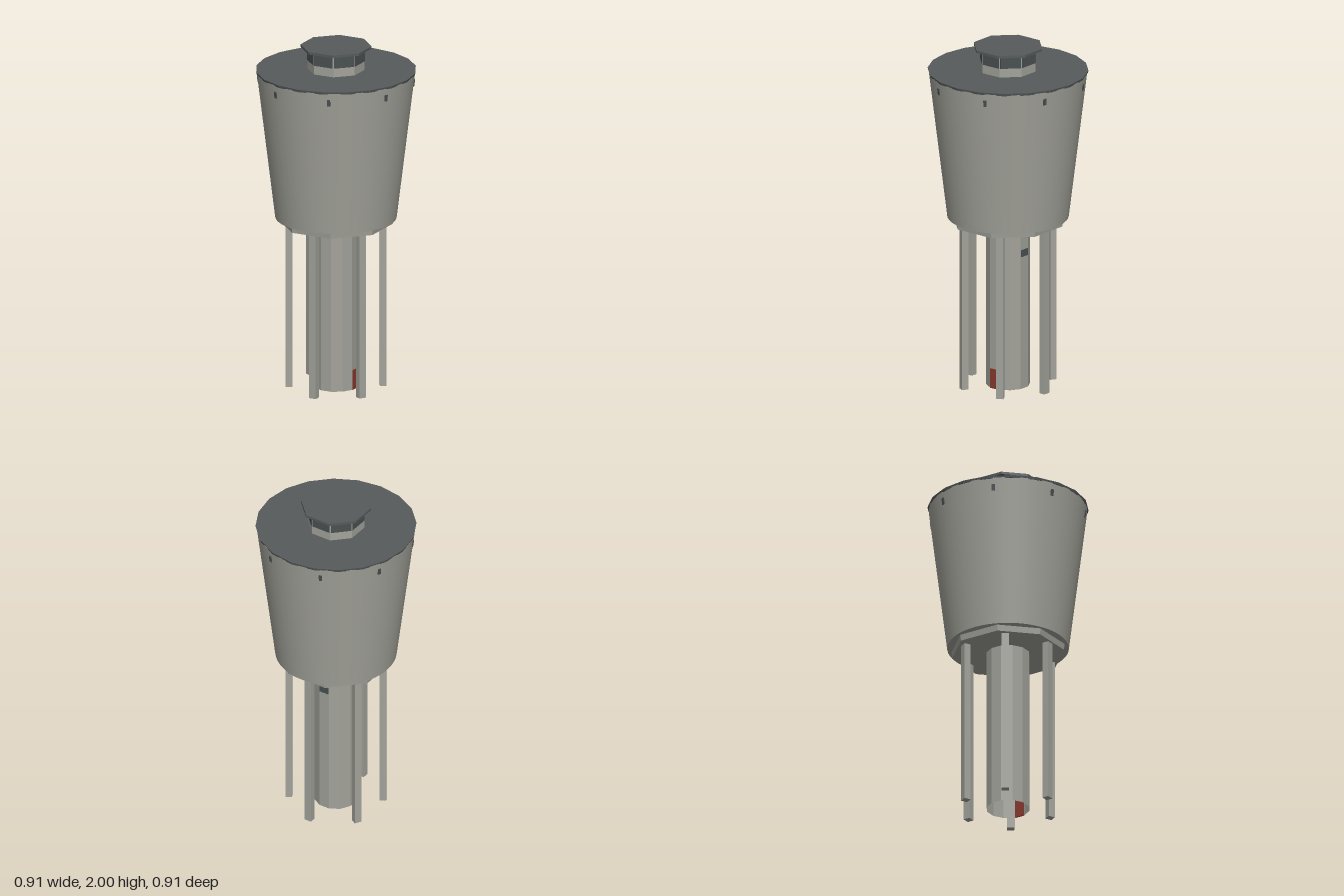
import * as THREE from 'three';

export function createModel() {
  const root = new THREE.Group();
  root.name = 'waterTower';

  const mat = (name, color, opts = {}) => {
    const m = new THREE.MeshStandardMaterial({ color, ...opts });
    m.name = name;
    return m;
  };
  const concrete = mat('concrete', 0xa3a39b, { flatShading: true });
  const tankConcrete = mat('smoothConcrete', 0xa3a39b);
  const shaftConcrete = mat('shaftConcrete', 0xa3a39b, { flatShading: true, side: THREE.DoubleSide });
  const roofing = mat('darkRoofing', 0x565b5b, { flatShading: true });
  const glass = mat('darkGlass', 0x4a5052);
  const doorRed = mat('doorRed', 0x8a3a2f);

  const add = (name, geo, material, parent = root) => {
    const mesh = new THREE.Mesh(geo, material);
    mesh.name = name;
    parent.add(mesh);
    return mesh;
  };
  // Prism standing between two heights, with flat sides facing the axes
  const prism = (rTop, rBottom, y0, y1, sides, open = false) =>
    new THREE.CylinderGeometry(rTop, rBottom, y1 - y0, sides, 1, open, Math.PI / sides)
      .translate(0, (y0 + y1) / 2, 0);
  // Empty group turned about the axis; its local +z points outward
  const spoke = (name, angle) => {
    const g = new THREE.Group();
    g.name = name;
    g.rotation.y = angle;
    root.add(g);
    return g;
  };

  // Central shaft, open at the ground
  add('shaft', prism(0.123, 0.123, 0, 0.97, 12, true), shaftConcrete);

  // Six slim legs around the shaft
  for (let i = 0; i < 6; i++) {
    const g = spoke('leg', i * Math.PI / 3);
    add('legPost', new THREE.BoxGeometry(0.042, 0.97, 0.038).translate(0, 0.485, 0.265), concrete, g);
  }

  // Octagonal slab carrying the tank
  add('supportSlab', prism(0.325, 0.32, 0.96, 1.0, 8), concrete);

  // Flared tank with a flat bottom
  add('tank', new THREE.CylinderGeometry(0.446, 0.342, 0.855, 48).translate(0, 1.4225, 0), tankConcrete);

  // Thin faceted roof
  add('roof', new THREE.CylinderGeometry(0.453, 0.449, 0.015, 20).translate(0, 1.853, 0), roofing);

  // Eight small vents below the rim, leaning with the tank wall
  const lean = Math.atan2(0.104, 0.855);
  for (let i = 0; i < 8; i++) {
    const g = spoke('vent', (i + 0.5) * Math.PI / 4);
    const vent = add('ventSlot', new THREE.BoxGeometry(0.018, 0.038, 0.008), glass, g);
    vent.position.set(0, 1.793, 0.44);
    vent.rotation.x = lean;
  }

  // Octagonal lantern on the roof with a window in every side
  add('lantern', prism(0.162, 0.162, 1.855, 1.988, 8), concrete);
  for (let i = 0; i < 8; i++) {
    const g = spoke('lanternWindow', i * Math.PI / 4);
    add('pane', new THREE.BoxGeometry(0.116, 0.066, 0.004).translate(0, 1.945, 0.1505), glass, g);
  }
  add('lanternCap', prism(0.201, 0.201, 1.985, 2.0, 8), roofing);

  // Door in the left side of the shaft, small window high at the back
  add('door', new THREE.BoxGeometry(0.058, 0.115, 0.008).translate(0, 0.0575, 0.119),
    doorRed, spoke('doorway', Math.PI / 2));
  add('shaftWindow', new THREE.BoxGeometry(0.056, 0.04, 0.008).translate(0, 0.8, 0.119),
    glass, spoke('backWindow', Math.PI));

  return root;
}
